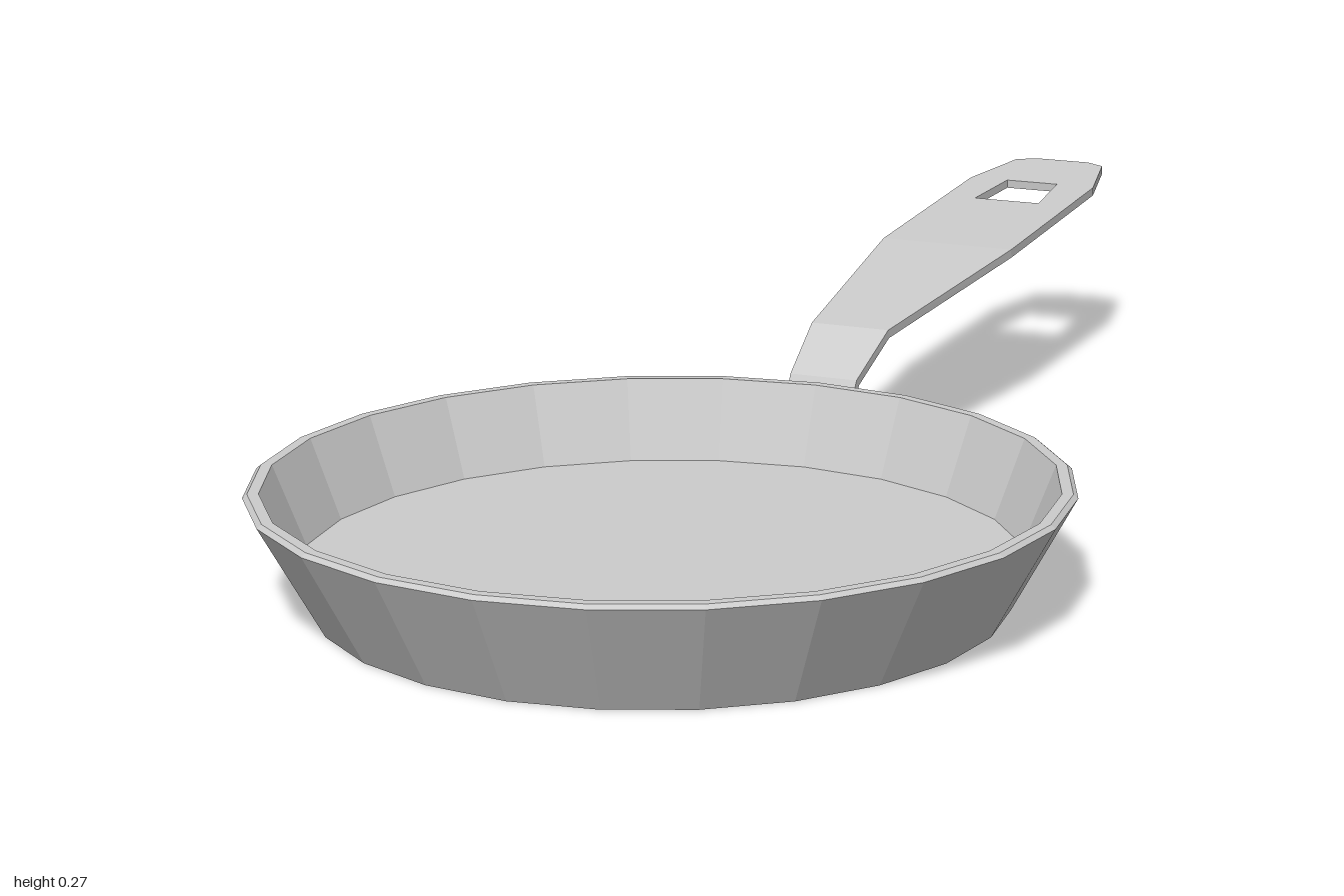
import * as THREE from 'three';

const material = new THREE.MeshStandardMaterial({ color: 0xcccccc, flatShading: true });

// Handle spine as [z, y, half width], from the pan wall to the tip
const spine = [
  [0.018, 0.048, 0.046],
  [-0.038, 0.15, 0.048],
  [-0.13, 0.197, 0.056],
  [-0.5, 0.234, 0.098],
  [-1, 0.261, 0.05],
];
const thickness = 0.012;

// Upward normal of spine segment i, in the (z, y) plane
function segmentNormal(i) {
  const [a, b] = [spine[i], spine[i + 1]];
  return new THREE.Vector2(b[1] - a[1], a[0] - b[0]).normalize();
}

// Mitred normal at spine point i, so neighbouring panels meet cleanly
function pointNormal(i) {
  if (i === 0) return segmentNormal(0);
  if (i === spine.length - 1) return segmentNormal(i - 1);
  const n = segmentNormal(i).add(segmentNormal(i - 1)).normalize();
  return n.divideScalar(n.dot(segmentNormal(i)));
}

const toShape = (half) =>
  half.concat(half.map(([x, t]) => [-x, t]).reverse()).map(([x, t]) => new THREE.Vector2(x, t));

// One flat panel: right-hand outline as [x, t], t running 0..1 along the segment
function handlePanel(i, half, hole) {
  const shape = new THREE.Shape(toShape(half));
  if (hole) shape.holes.push(new THREE.Path(toShape(hole)));
  const geometry = new THREE.ExtrudeGeometry(shape, { depth: thickness, bevelEnabled: false });
  const [a, b] = [spine[i], spine[i + 1]];
  const [na, nb] = [pointNormal(i), pointNormal(i + 1)];
  const pos = geometry.attributes.position;
  for (let k = 0; k < pos.count; k++) {
    const t = pos.getY(k);
    const d = pos.getZ(k) - thickness / 2;
    const n = na.clone().lerp(nb, t);
    pos.setXYZ(
      k,
      pos.getX(k),
      THREE.MathUtils.lerp(a[1], b[1], t) + n.y * d,
      THREE.MathUtils.lerp(a[0], b[0], t) + n.x * d
    );
  }
  geometry.computeVertexNormals();
  return new THREE.Mesh(geometry, material);
}

export function createModel() {
  const model = new THREE.Group();
  model.name = 'fryingPan';

  // Pan: outer wall, bevelled rim, inner wall and thick floor
  const profile = [
    [0, 0], [0.433, 0], [0.513, 0.145], [0.507, 0.15],
    [0.493, 0.15], [0.452, 0.047], [0, 0.047],
  ].map(([r, y]) => new THREE.Vector2(r, y));
  const pan = new THREE.Mesh(new THREE.LatheGeometry(profile, 24), material);
  pan.name = 'panBody';
  pan.position.z = 0.487;
  model.add(pan);

  // Handle: bent strip, with a clipped tip and a hanging hole in the last panel
  const handle = new THREE.Group();
  handle.name = 'handle';
  for (let i = 0; i < spine.length - 1; i++) {
    const last = i === spine.length - 2;
    const half = last
      ? [[spine[i][2], 0], [0.098, 0.72], [0.07, 0.97], [0.042, 1]]
      : [[spine[i][2], 0], [spine[i + 1][2], 1]];
    const hole = last ? [[0.05, 0.5], [0.04, 0.725]] : null;
    const panel = handlePanel(i, half, hole);
    panel.name = last ? 'handleGrip' : 'handleSegment' + (i + 1);
    handle.add(panel);
  }
  model.add(handle);
  return model;
}
